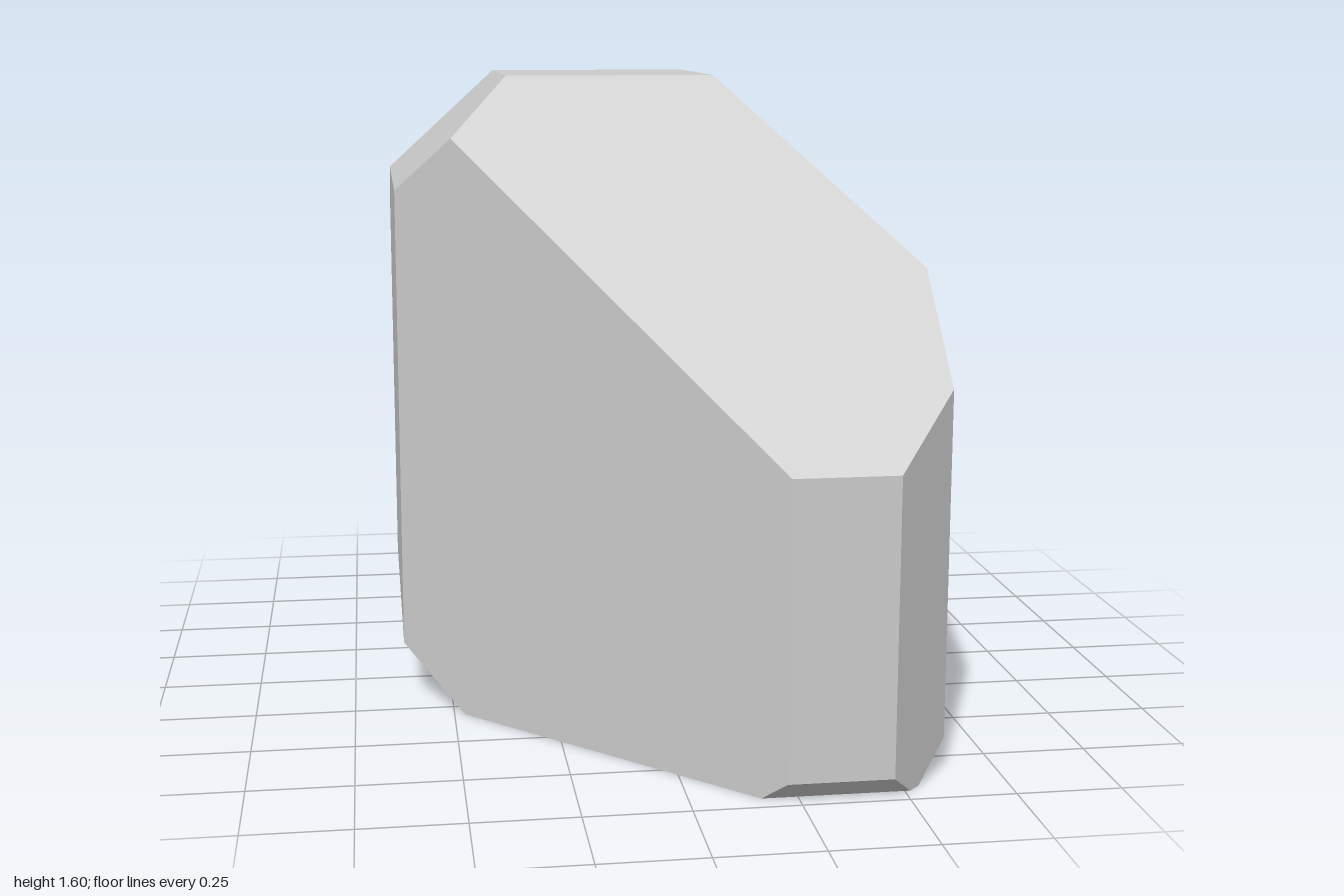
import * as THREE from 'three';

// Bounding planes of the faceted block: [nx, ny, nz, limit], meaning n . p <= limit
const PLANES = [
  // flat sides
  [1, 0, 0, 0.622], [-1, 0, 0, 0.622],
  [0, 1, 0, 1.602], [0, -1, 0, 0],
  [0, 0, 1, 1], [0, 0, -1, 1],
  // bevels along z
  [1, 1, 0, 1.783], [-1, 1, 0, 1.943], [-1, -1, 0, 0.473], [1, -1, 0, 0.54],
  // bevels along x
  [0, 1, 1, 1.755], [0, 1, -1, 1.958], [0, -1, 1, 0.95], [0, -1, -1, 0.892],
  // bevels along y
  [1, 0, 1, 1.463], [1, 0, -1, 0.793], [-1, 0, 1, 0.785], [-1, 0, -1, 1.383],
].map(([x, y, z, d]) => ({ n: new THREE.Vector3(x, y, z), d }));

// Corners are the points where three planes meet inside all the others
function findCorners() {
  const corners = [];
  const m = new THREE.Matrix3();
  for (let i = 0; i < PLANES.length; i++)
    for (let j = i + 1; j < PLANES.length; j++)
      for (let k = j + 1; k < PLANES.length; k++) {
        const [a, b, c] = [PLANES[i], PLANES[j], PLANES[k]];
        m.set(a.n.x, a.n.y, a.n.z, b.n.x, b.n.y, b.n.z, c.n.x, c.n.y, c.n.z);
        if (Math.abs(m.determinant()) < 1e-6) continue;
        const p = new THREE.Vector3(a.d, b.d, c.d).applyMatrix3(m.invert());
        if (PLANES.every(({ n, d }) => n.dot(p) <= d + 1e-6) &&
            corners.every((q) => q.distanceTo(p) > 1e-5)) corners.push(p);
      }
  return corners;
}

// One flat polygon per plane, its corners sorted counter-clockwise around the normal
function blockGeometry() {
  const corners = findCorners();
  const position = [], normal = [];
  for (const { n, d } of PLANES) {
    const ring = corners.filter((p) => Math.abs(n.dot(p) - d) < 1e-5);
    if (ring.length < 3) continue;
    const unit = n.clone().normalize();
    const centre = ring.reduce((s, p) => s.add(p), new THREE.Vector3()).divideScalar(ring.length);
    const u = ring[0].clone().sub(centre).normalize();
    const v = unit.clone().cross(u);
    const angle = (p) => {
      const r = p.clone().sub(centre);
      return Math.atan2(r.dot(v), r.dot(u));
    };
    ring.sort((p, q) => angle(p) - angle(q));
    for (let i = 1; i < ring.length - 1; i++)
      for (const p of [ring[0], ring[i], ring[i + 1]]) {
        position.push(p.x, p.y, p.z);
        normal.push(unit.x, unit.y, unit.z);
      }
  }
  const geometry = new THREE.BufferGeometry();
  geometry.setAttribute('position', new THREE.Float32BufferAttribute(position, 3));
  geometry.setAttribute('normal', new THREE.Float32BufferAttribute(normal, 3));
  return geometry;
}

export function createModel() {
  const group = new THREE.Group();
  const block = new THREE.Mesh(
    blockGeometry(),
    new THREE.MeshStandardMaterial({ color: 0xcccccc, flatShading: true })
  );
  block.name = 'facetedBlock';
  group.add(block);
  return group;
}
